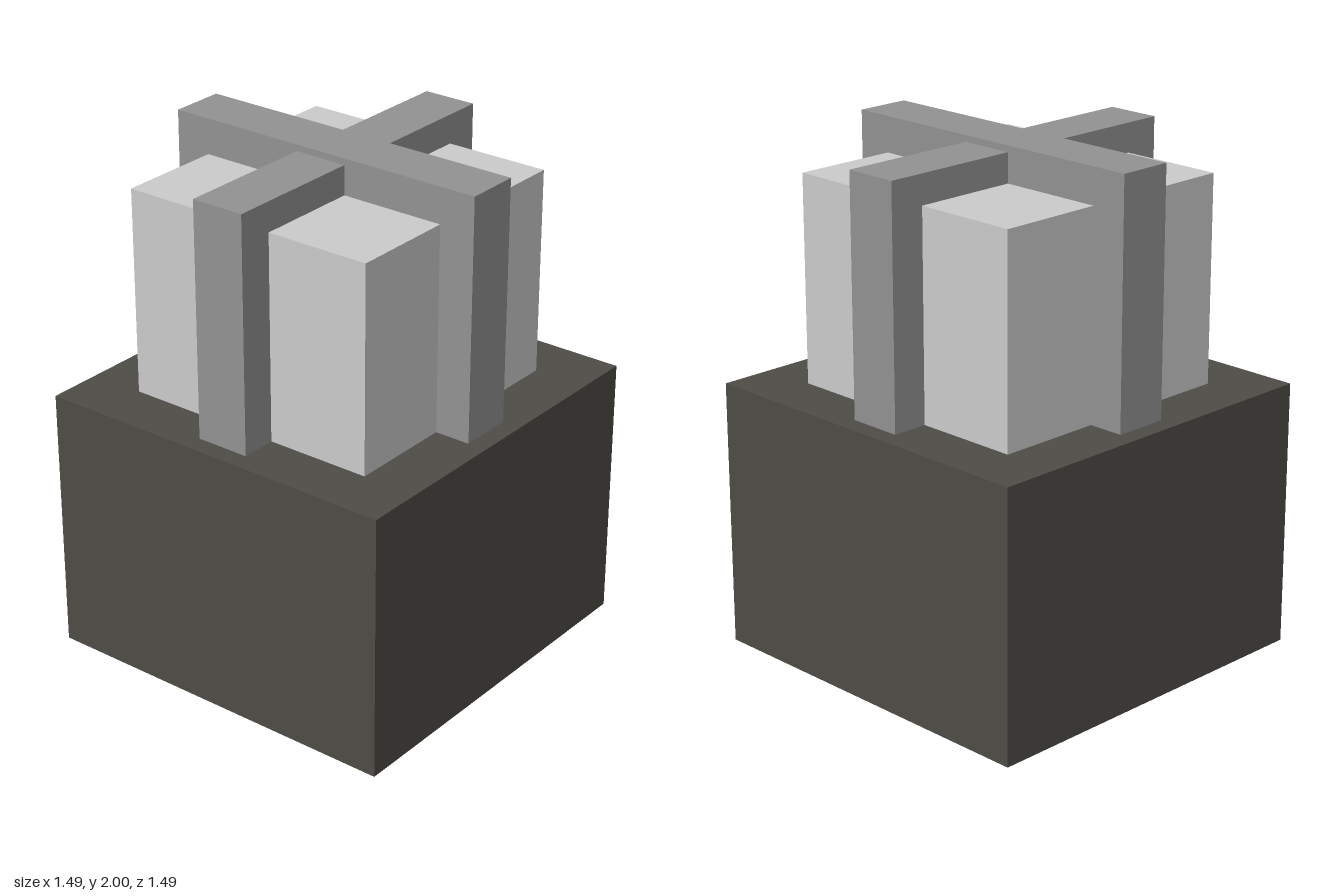
import * as THREE from 'three';

const BASE_TOP = 1.05;

// Box standing on height y0, reaching up to y1, centred on x = z = 0
function block(name, width, depth, y0, y1, color) {
  const mesh = new THREE.Mesh(
    new THREE.BoxGeometry(width, y1 - y0, depth),
    new THREE.MeshStandardMaterial({ color, flatShading: true })
  );
  mesh.position.y = (y0 + y1) / 2;
  mesh.name = name;
  return mesh;
}

export function createModel() {
  const model = new THREE.Group();
  model.name = 'strappedBlockOnPlinth';

  // Dark square plinth
  model.add(block('plinth', 1.49, 1.49, 0, BASE_TOP, 0x4e4c46));

  // Pale block on the plinth
  model.add(block('core', 1.055, 1.055, BASE_TOP, 1.86, 0xcccccc));

  // Two crossing bands; the front-to-back one stands slightly taller
  model.add(block('sideBand', 1.34, 0.215, BASE_TOP, 1.975, 0x929292));
  model.add(block('frontBand', 0.215, 1.34, BASE_TOP, 2, 0x929292));

  return model;
}
